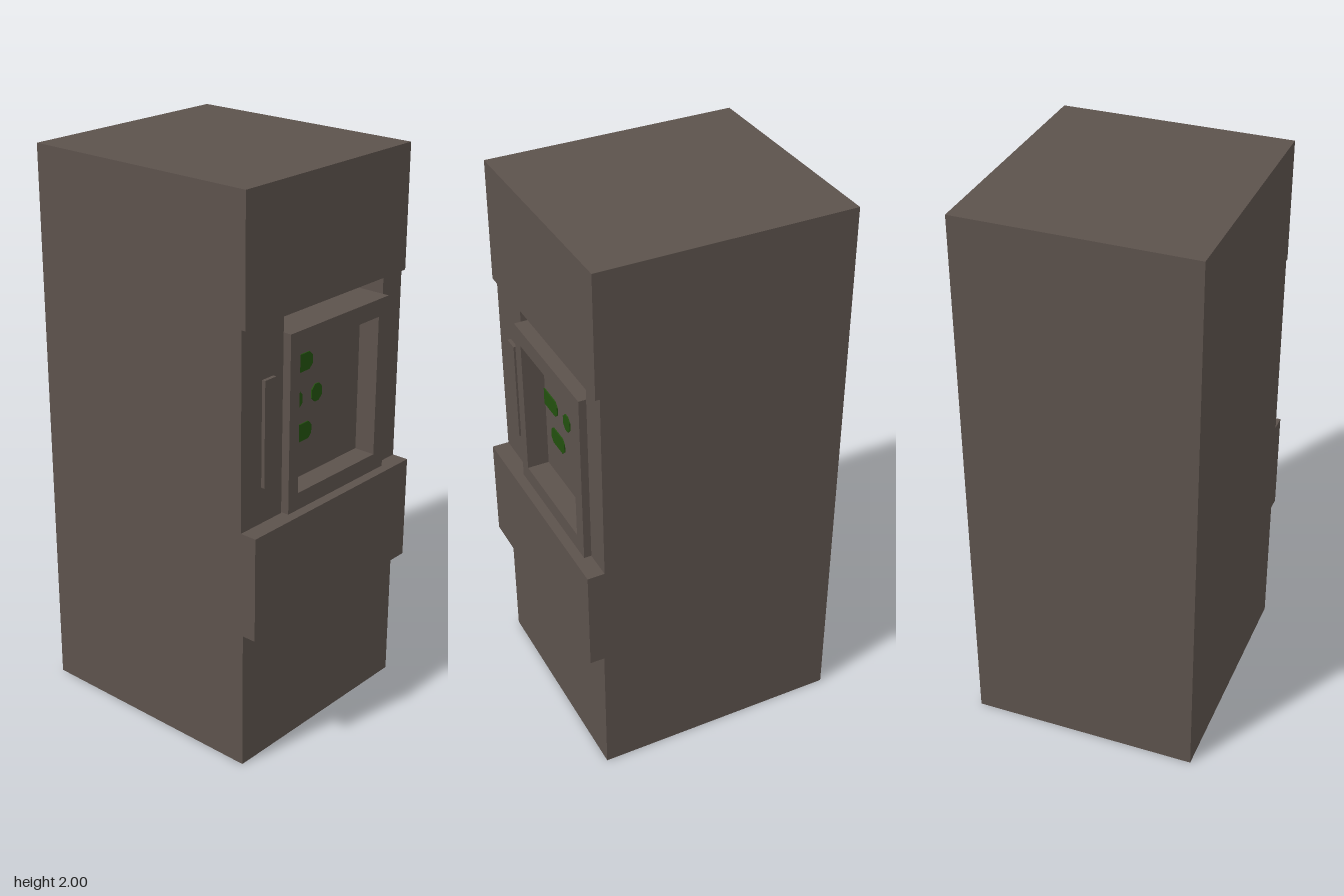
import * as THREE from 'three';

export function createModel() {
  const model = new THREE.Group();
  const casing = new THREE.MeshStandardMaterial({ color: 0x5c524c });
  casing.name = 'casing brown';
  const green = new THREE.MeshStandardMaterial({ color: 0x22500e });
  green.name = 'screen green';

  const add = (name, geometry, material = casing, parent = model) => {
    const mesh = new THREE.Mesh(geometry, material);
    mesh.name = name;
    parent.add(mesh);
    return mesh;
  };
  const box = (name, x0, x1, y0, y1, z0, z1) =>
    add(name, new THREE.BoxGeometry(x1 - x0, y1 - y0, z1 - z0))
      .position.set((x0 + x1) / 2, (y0 + y1) / 2, (z0 + z1) / 2);

  const W = 0.41, BACK = -0.473, PANEL = 0.412, POCKET = 0.3;
  const midLow = 0.877, midHigh = 1.565;

  // Cabinet: a side profile extruded across x, with a deeper middle slice for the monitor
  const slice = (name, x0, x1, recess) => {
    const profile = new THREE.Shape([
      [BACK, 0], [0.422, 0], [0.422, 0.503], [0.473, 0.503], [0.473, midLow],
      [recess, midLow], [recess, midHigh], [0.427, midHigh], [0.427, 2], [BACK, 2],
    ].map(([z, y]) => new THREE.Vector2(z, y)));
    const geometry = new THREE.ExtrudeGeometry(profile, { depth: x1 - x0, bevelEnabled: false });
    geometry.rotateY(-Math.PI / 2).translate(x1, 0, 0);
    add(name, geometry);
  };
  slice('cabinetRight', -W, -0.21, PANEL);
  slice('cabinetMiddle', -0.21, 0.308, POCKET);
  slice('cabinetLeft', 0.308, W, PANEL);

  // Narrow raised strip beside the monitor
  box('sideStrip', -0.312, -0.258, 1.005, 1.375, PANEL - 0.01, 0.425);

  // Monitor frame with an open window
  const rect = (T, x0, x1, y0, y1) => new T([
    new THREE.Vector2(x0, y0), new THREE.Vector2(x1, y0),
    new THREE.Vector2(x1, y1), new THREE.Vector2(x0, y1),
  ]);
  const frame = rect(THREE.Shape, -0.205, 0.307, midLow, 1.502);
  frame.holes.push(rect(THREE.Path, -0.157, 0.255, 0.938, 1.44));
  add('monitorFrame', new THREE.ExtrudeGeometry(frame, { depth: 0.438 - POCKET, bevelEnabled: false }))
    .position.z = POCKET;

  // Recessed screen
  const SCREEN = 0.36;
  box('screen', -0.157, 0.255, 0.938, 1.44, POCKET, SCREEN);

  // Glowing bars: thin plates with clipped corners, some flush with the frame at one end
  const bars = new THREE.Group();
  bars.name = 'screenBars';
  model.add(bars);
  const c = 0.016, h = 0.031;
  for (const [x0, x1, y, flush] of [
    [-0.157, 0, 1.345, true],
    [-0.157, -0.05, 1.22, true],
    [0, 0.052, 1.22, false],
    [-0.107, 0, 1.098, false],
  ]) {
    const k = flush ? 0 : c;
    const outline = [[x0 + k, -h], [x1 - c, -h], [x1, c - h], [x1, h - c], [x1 - c, h], [x0 + k, h]];
    if (!flush) outline.push([x0, h - c], [x0, c - h]);
    const shape = new THREE.Shape(outline.map(([px, py]) => new THREE.Vector2(px, py)));
    add('screenBar', new THREE.ExtrudeGeometry(shape, { depth: 0.004, bevelEnabled: false }), green, bars)
      .position.set(0, y, SCREEN);
  }
  return model;
}
